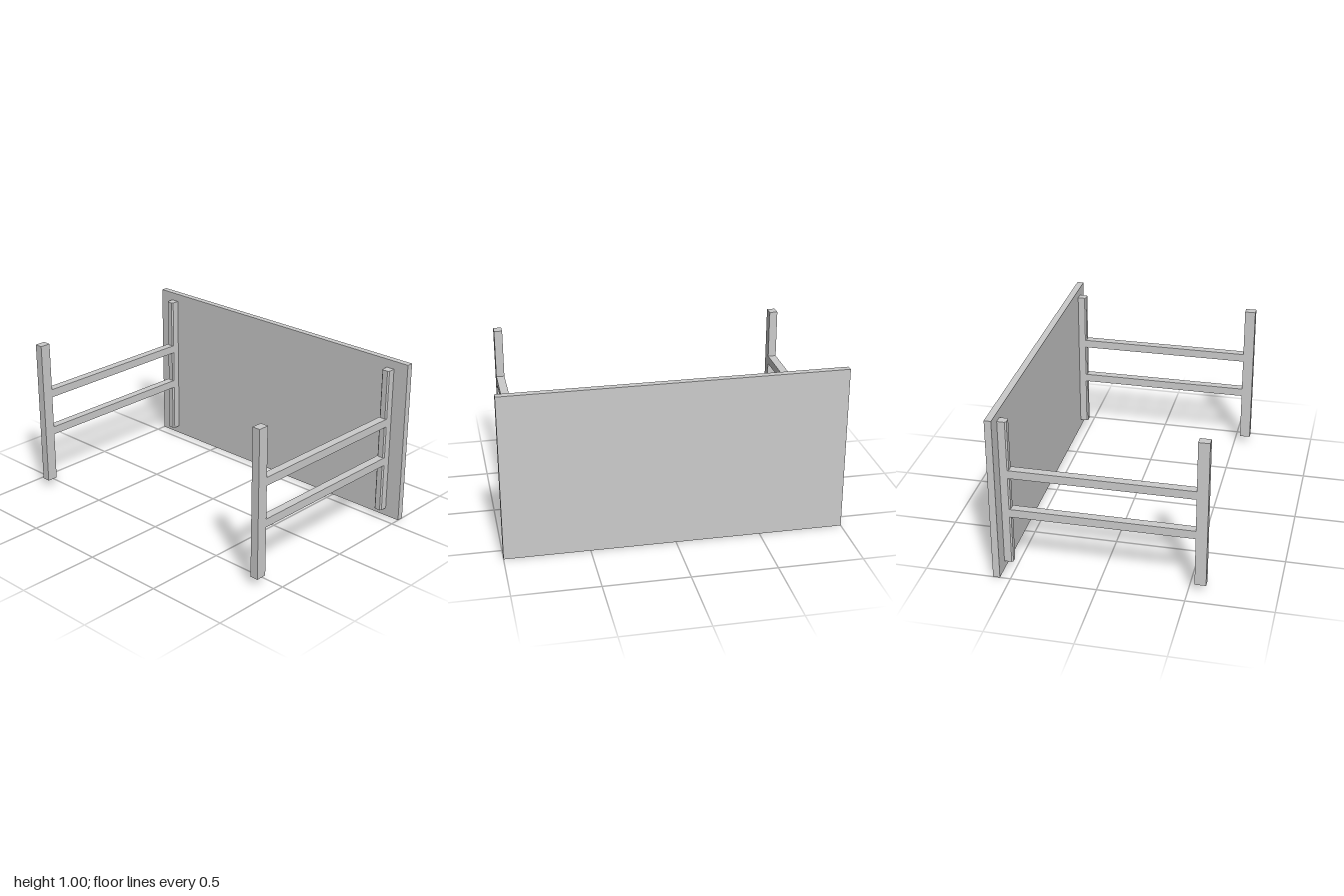
import * as THREE from 'three';

const material = new THREE.MeshStandardMaterial({ color: 0xcccccc, flatShading: true });

// Box given by its centre x, width and its y and z ranges
function bar(name, x, width, y0, y1, z0, z1) {
  const mesh = new THREE.Mesh(new THREE.BoxGeometry(width, y1 - y0, z1 - z0), material);
  mesh.name = name;
  mesh.position.set(x, (y0 + y1) / 2, (z0 + z1) / 2);
  return mesh;
}

// Upright cleat against the panel, with its two front edges chamfered
function cleat(x, width, y0, y1, zBack, zFront, chamfer) {
  const h = width / 2;
  const profile = new THREE.Shape([
    [-h, -zBack], [-h, -zFront + chamfer], [-h + chamfer, -zFront],
    [h - chamfer, -zFront], [h, -zFront + chamfer], [h, -zBack],
  ].map(([px, py]) => new THREE.Vector2(px, py)));
  const geometry = new THREE.ExtrudeGeometry(profile, { depth: y1 - y0, bevelEnabled: false });
  geometry.rotateX(-Math.PI / 2);
  const mesh = new THREE.Mesh(geometry, material);
  mesh.name = 'cleat';
  mesh.position.set(x, y0, 0);
  return mesh;
}

export function createModel() {
  const table = new THREE.Group();
  table.name = 'tableOnItsSide';

  // Table top standing on its long edge
  table.add(bar('tableTop', 0, 2, 0, 1, -0.602, -0.562));

  // One leg frame at each end: foot, two legs and a cleat
  for (const side of [1, -1]) {
    const x = side * 0.88;
    const frame = new THREE.Group();
    frame.name = side > 0 ? 'leftLegFrame' : 'rightLegFrame';
    frame.add(bar('foot', x, 0.05, 0.05, 0.95, 0.537, 0.602));
    frame.add(cleat(x, 0.05, 0.05, 0.95, -0.562, -0.511, 0.008));
    for (const y of [0.35, 0.6]) {
      frame.add(bar('leg', x, 0.05, y, y + 0.05, -0.519, 0.537));
    }
    table.add(frame);
  }
  return table;
}
